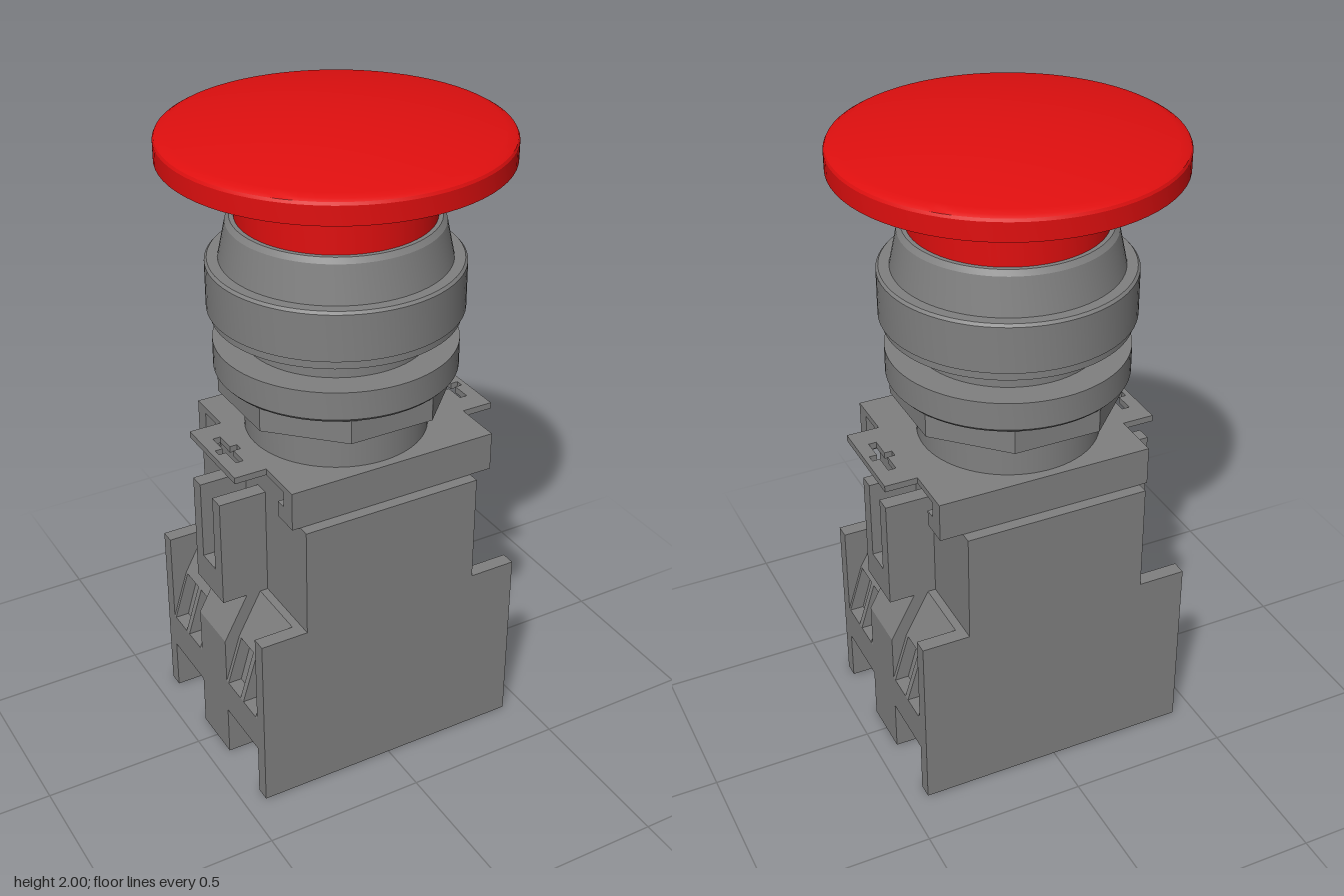
import * as THREE from 'three';
import { toCreasedNormals } from 'three/addons/utils/BufferGeometryUtils.js';

export function createModel() {
  const model = new THREE.Group();
  model.name = 'mushroomPushButton';
  const grey = new THREE.MeshStandardMaterial({ color: 0x808080 });
  grey.name = 'housingGrey';
  const red = new THREE.MeshStandardMaterial({ color: 0xe00f0f });
  red.name = 'buttonRed';

  const add = (name, geometry, material = grey, parent = model) => {
    const mesh = new THREE.Mesh(geometry, material);
    mesh.name = name;
    parent.add(mesh);
    return mesh;
  };
  const box = (x0, x1, y0, y1, z0, z1) =>
    new THREE.BoxGeometry(x1 - x0, y1 - y0, z1 - z0)
      .translate((x0 + x1) / 2, (y0 + y1) / 2, (z0 + z1) / 2);
  const shapeOf = (pts) => new THREE.Shape(pts.map(([a, b]) => new THREE.Vector2(a, b)));
  // Side profile (x, y) extruded between two z positions
  const slab = (pts, z0, z1) =>
    new THREE.ExtrudeGeometry(shapeOf(pts), { depth: z1 - z0, bevelEnabled: false }).translate(0, 0, z0);
  const turned = (pts) =>
    toCreasedNormals(new THREE.LatheGeometry(pts.map(([r, y]) => new THREE.Vector2(r, y)), 72), 0.4);

  // Contact block: core and two T-shaped end walls
  const W = 0.433, C = 0.285, P = 0.087, wallIn = 0.29, D = 0.335;
  add('contactBlockCore', box(-C, C, 0, 0.92, -wallIn, wallIn));
  const wall = [[-W, 0], [W, 0], [W, 0.575], [C, 0.575], [C, 0.92], [-C, 0.92], [-C, 0.575], [-W, 0.575]];
  add('frontWall', slab(wall, wallIn, D));
  add('backWall', slab(wall, -D, -wallIn));

  // Terminal sides, mirrored left and right
  for (const sx of [1, -1]) {
    const side = new THREE.Group();
    side.name = sx > 0 ? 'leftTerminalSide' : 'rightTerminalSide';
    model.add(side);
    const put = (name, pts, z0, z1) =>
      add(name, slab(pts.map(([x, y]) => [x * sx, y]), z0, z1), grey, side);
    const rect = (y0, y1) => [[C, y0], [W, y0], [W, y1], [C, y1]];

    // Centre post and forked latch
    put('centrePost', [[C, 0], [W, 0], [W, 0.43], [0.355, 0.575], [C, 0.575]], -P, P);
    put('forkBase', rect(0.575, 0.67), -P, P);
    put('forkProng', rect(0.67, 0.92), 0.04, P);
    put('forkProng', rect(0.67, 0.92), -P, -0.04);

    for (const sz of [1, -1]) {
      const putZ = (name, pts, a, b) => put(name, pts, Math.min(a * sz, b * sz), Math.max(a * sz, b * sz));
      // Bridge with a sloping underside above the open wire notch
      putZ('terminalBridge', [[C, 0.112], [W, 0.165], [W, 0.28], [C, 0.28]], P, wallIn);
      // Sloping terminal face with two recessed slots
      putZ('terminalSlope', [[C, 0.435], [0.385, 0.435], [0.31, 0.575], [C, 0.575]], P, wallIn);
      for (const [a, b] of [[P, 0.1], [0.18, 0.2], [0.28, wallIn]]) {
        putZ('slotRib', [[C, 0.28], [W, 0.28], [0.385, 0.435], [C, 0.435]], a, b);
      }
      putZ('slotFloor', [[C, 0.28], [0.39, 0.28], [0.345, 0.435], [C, 0.435]], 0.1, 0.18);
      putZ('slotFloor', [[C, 0.28], [0.39, 0.28], [0.345, 0.435], [C, 0.435]], 0.2, 0.28);
      // Screw head set in the sloping underside
      const screw = add('terminalScrew', toCreasedNormals(new THREE.CylinderGeometry(0.068, 0.068, 0.016, 32), 0.5), grey, side);
      screw.position.set(sx * 0.36, 0.139, sz * 0.187);
      screw.rotation.z = sx * 0.345;
    }
  }

  // Mounting collar: a channel running along x
  const x0 = -0.31, x1 = 0.355;
  const half = [[0.3, 1.04], [0.3, 0.92], [0.215, 0.92], [0.215, 0.97], [0.25, 0.97], [0.25, 1.02]];
  const channel = [...half, ...half.slice().reverse().map(([z, y]) => [-z, y])];
  add('mountingCollar',
    new THREE.ExtrudeGeometry(shapeOf(channel), { depth: x1 - x0, bevelEnabled: false })
      .rotateY(Math.PI / 2).translate(x0, 0, 0));
  add('collarInsert', box(-C, C, 0.92, 1.02, -0.205, 0.205));

  // Collar tabs, each with a cross-shaped hole
  for (const [edge, s] of [[x1, 1], [x0, -1]]) {
    const tab = shapeOf([[0, -0.147], [0.1, -0.147], [0.1, 0.147], [0, 0.147]].map(([x, z]) => [edge + s * x, z]));
    const a = 0.012, lx = 0.035, lz = 0.075;
    const cross = [[-a, -lz], [a, -lz], [a, -a], [lx, -a], [lx, a], [a, a],
      [a, lz], [-a, lz], [-a, a], [-lx, a], [-lx, -a], [-a, -a]];
    tab.holes.push(new THREE.Path(cross.map(([x, z]) => new THREE.Vector2(edge + s * 0.048 + x, z))));
    add('collarTab',
      new THREE.ExtrudeGeometry(tab, { depth: 0.02, bevelEnabled: false })
        .rotateX(-Math.PI / 2).translate(0, 1.02, 0));
  }

  // Threaded neck, eight-sided nut and clamping ring
  add('neck', turned([[0, 1.035], [0.272, 1.035], [0.272, 1.42], [0, 1.42]]));
  add('lockNut', toCreasedNormals(
    new THREE.CylinderGeometry(0.346, 0.346, 0.075, 8).rotateY(Math.PI / 8).translate(0, 1.1975, 0), 0.4));
  add('clampingRing', turned([[0, 1.235], [0.348, 1.235], [0.357, 1.245], [0.357, 1.33], [0, 1.33]]));

  // Bezel with stepped flange and tapered top
  add('bezel', turned([[0, 1.405], [0.36, 1.405], [0.36, 1.432], [0.371, 1.432], [0.371, 1.572],
    [0.364, 1.58], [0.333, 1.58], [0.31, 1.69], [0.298, 1.705], [0, 1.705]]));

  // Red button stem and domed mushroom head
  add('buttonStem', turned([[0, 1.69], [0.285, 1.69], [0.285, 1.885], [0, 1.885]]), red);
  add('buttonHead', turned([[0, 1.88], [0.496, 1.88], [0.496, 1.935], [0.492, 1.943], [0.482, 1.949],
    [0.46, 1.954], [0.38, 1.969], [0.28, 1.983], [0.18, 1.993], [0.09, 1.998], [0, 2]]), red);

  return model;
}
